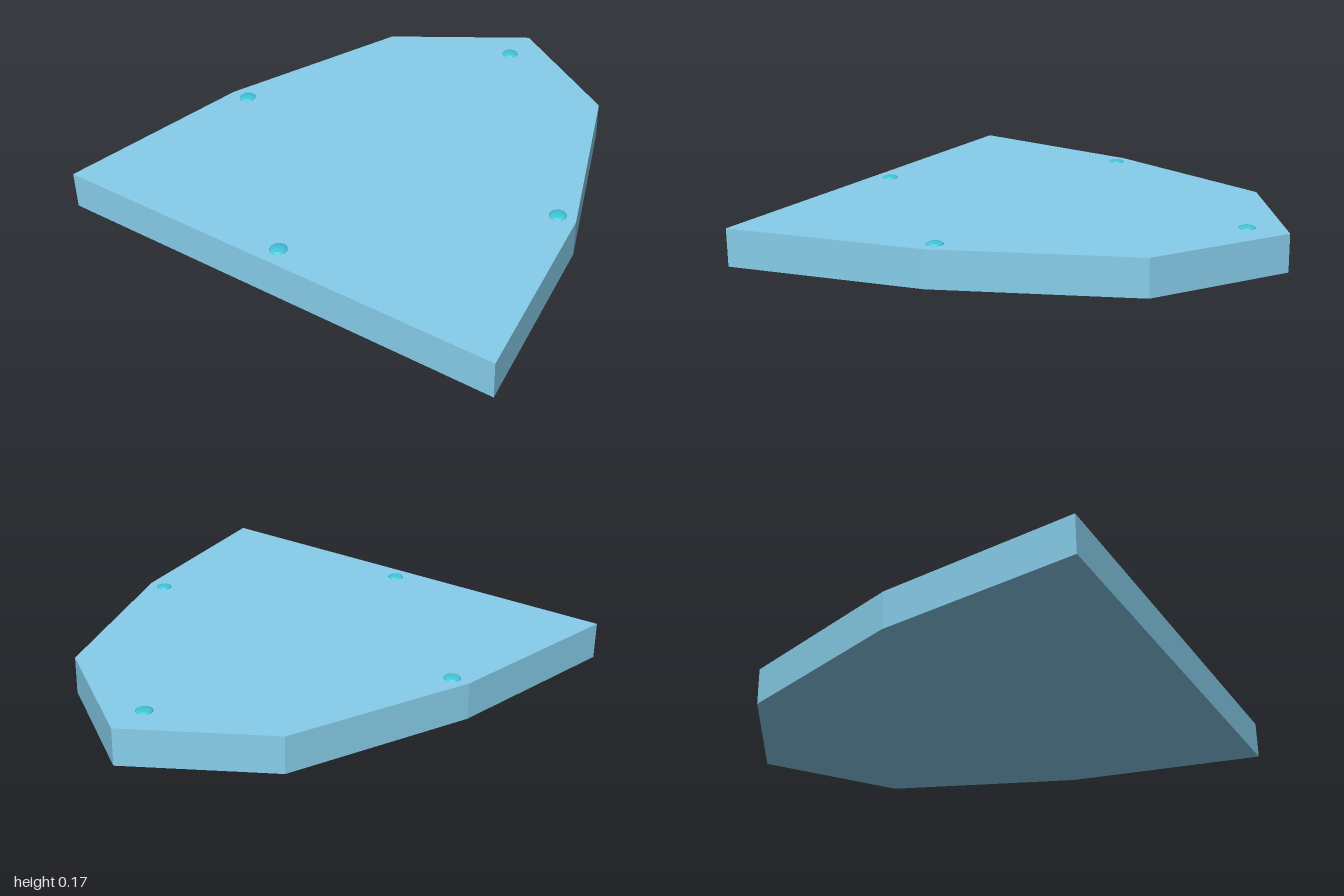
import * as THREE from 'three';

const THICKNESS = 0.16;

export function createModel() {
  const model = new THREE.Group();
  const plateMaterial = new THREE.MeshStandardMaterial({ color: 0x87ceeb });
  const studMaterial = new THREE.MeshStandardMaterial({ color: 0x40c4d8 });

  // Flat plate: half outline as [x, z] from the front corner to the rear tip, then mirrored
  const half = [[1, 1], [0.86, 0.15], [0.55, -0.65]];
  const mirrored = half.map(([x, z]) => [-x, z]).reverse();
  const outline = [...half, [0, -1], ...mirrored];
  const shape = new THREE.Shape(outline.map(([x, z]) => new THREE.Vector2(x, -z)));
  const plateGeometry = new THREE.ExtrudeGeometry(shape, { depth: THICKNESS, bevelEnabled: false });
  plateGeometry.rotateX(-Math.PI / 2);
  const plate = new THREE.Mesh(plateGeometry, plateMaterial);
  plate.name = 'plate';
  model.add(plate);

  // Low domed studs near the tip, the sides and the front edge
  const studGeometry = new THREE.SphereGeometry(0.035, 24, 16);
  studGeometry.scale(1, 0.3, 1);
  const studs = {
    rearStud: [0, -0.82],
    frontStud: [0, 0.92],
    leftStud: [0.78, 0.15],
    rightStud: [-0.78, 0.15],
  };
  for (const [name, [x, z]] of Object.entries(studs)) {
    const stud = new THREE.Mesh(studGeometry, studMaterial);
    stud.name = name;
    stud.position.set(x, THICKNESS, z);
    model.add(stud);
  }

  return model;
}
